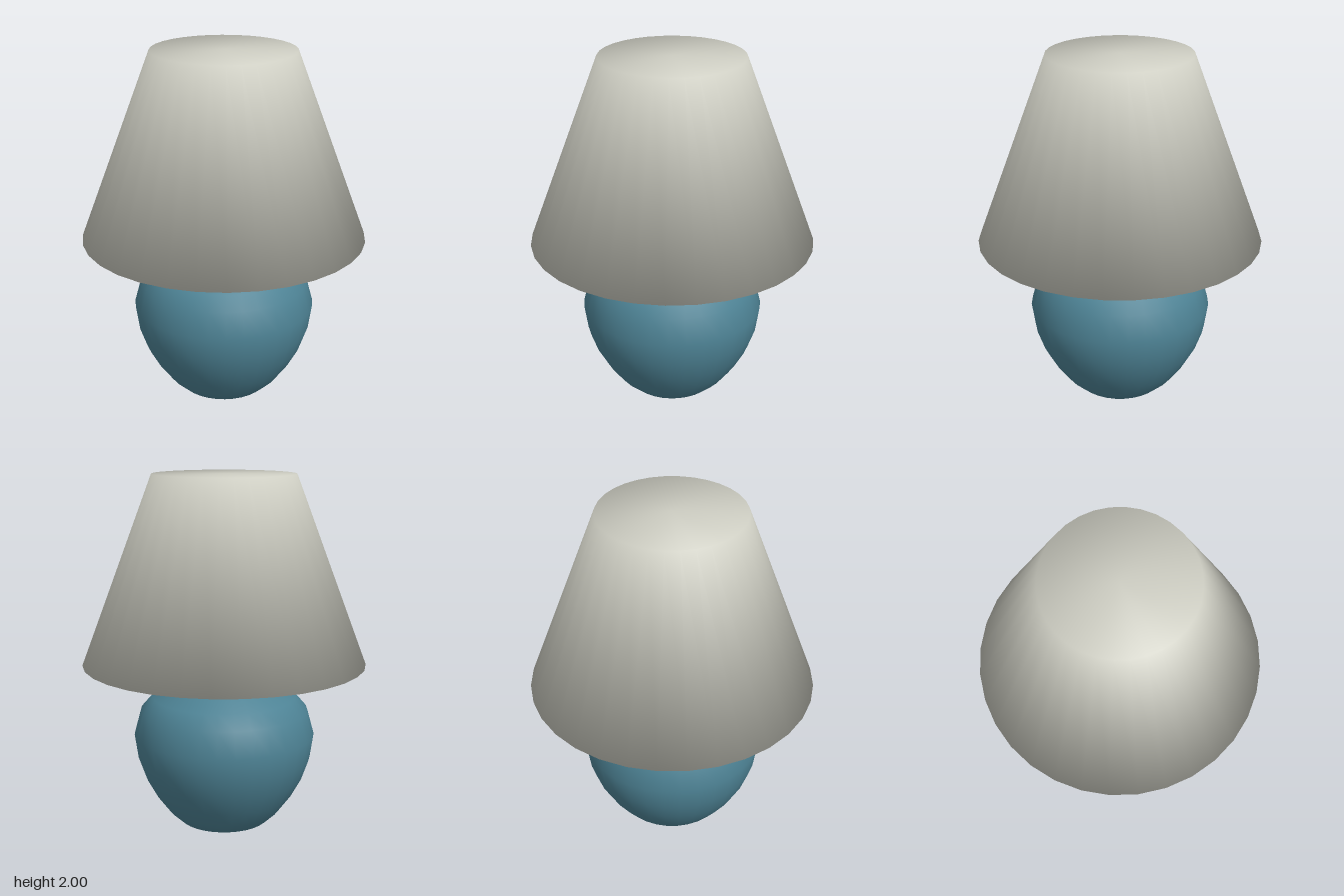
import * as THREE from 'three';

const SIDES = 32;

function lathe(name, profile, color) {
  const points = profile.map(([r, y]) => new THREE.Vector2(r, y));
  const geometry = new THREE.LatheGeometry(points, SIDES);
  const mesh = new THREE.Mesh(geometry, new THREE.MeshStandardMaterial({ color }));
  mesh.name = name;
  return mesh;
}

export function createModel() {
  const lamp = new THREE.Group();
  lamp.name = 'tableLamp';

  // Rounded ceramic body, narrowing to a neck that reaches into the shade
  lamp.add(lathe('base', [
    [0, 0], [0.14, 0.017], [0.25, 0.06], [0.315, 0.12], [0.386, 0.215],
    [0.444, 0.32], [0.483, 0.43], [0.503, 0.566], [0.465, 0.705], [0.4, 0.78],
    [0.255, 0.86], [0.165, 0.915], [0.135, 0.97], [0.132, 0.98],
  ], 0x4d8294));

  // Closed conical shade
  const bottom = 0.97, top = 2, wide = 0.78, narrow = 0.39;
  const shade = lathe('shade', [[0, bottom], [wide, bottom], [narrow, top], [0, top]], 0xcdcdc2);

  // Soft rims: each rim normal is the even average of the wall and cap normals
  const wall = new THREE.Vector2(top - bottom, wide - narrow).normalize();
  const { position, normal } = shade.geometry.attributes;
  for (let i = 0; i < position.count; i++) {
    const x = position.getX(i), z = position.getZ(i), r = Math.hypot(x, z);
    const cap = position.getY(i) > 1.5 ? 1 : -1;
    const n = new THREE.Vector3(0, cap, 0);
    if (r > 0.01) n.add(new THREE.Vector3(wall.x * x / r, wall.y, wall.x * z / r)).normalize();
    normal.setXYZ(i, n.x, n.y, n.z);
  }
  lamp.add(shade);

  return lamp;
}
